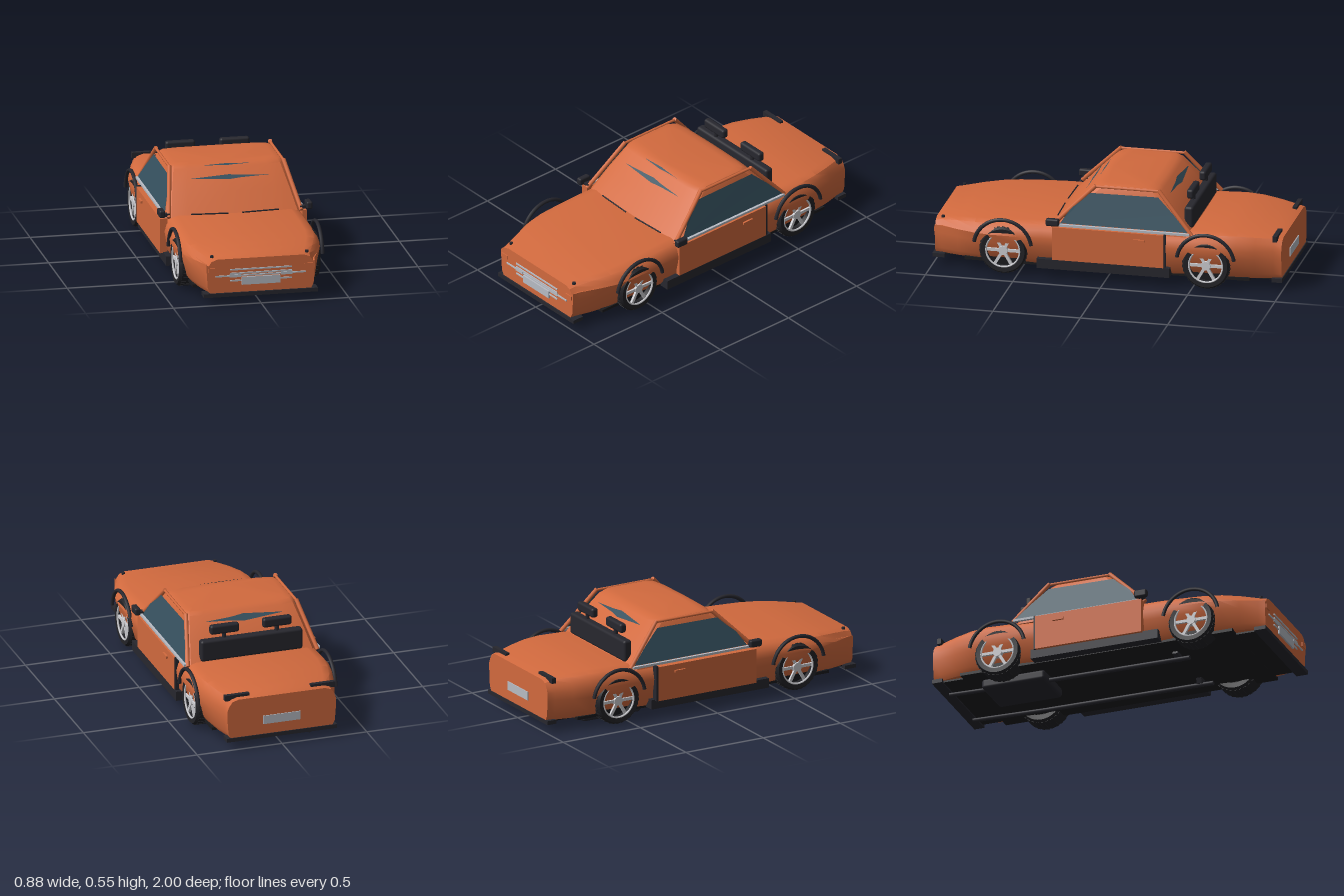
import * as THREE from 'three';
import { toCreasedNormals } from 'three/addons/utils/BufferGeometryUtils.js';
import { RoundedBoxGeometry } from 'three/addons/geometries/RoundedBoxGeometry.js';

const mat = (name, color, side = THREE.FrontSide) => {
  const m = new THREE.MeshStandardMaterial({ color, side });
  m.name = name;
  return m;
};

// Skin between closed rings of points, with both ends capped
function loft(rings, crease = 0.5) {
  const n = rings[0].length, idx = [], last = (rings.length - 1) * n;
  for (let i = 0; i < rings.length - 1; i++) {
    for (let j = 0; j < n; j++) {
      const a = i * n + j, b = i * n + (j + 1) % n;
      idx.push(a, b, b + n, a, b + n, a + n);
    }
  }
  for (let j = 1; j < n - 1; j++) idx.push(0, j + 1, j, last, last + j, last + j + 1);
  const g = new THREE.BufferGeometry();
  g.setAttribute('position', new THREE.Float32BufferAttribute(rings.flat(2), 3));
  g.setIndex(idx);
  return toCreasedNormals(g, crease);
}

// Flat convex panel from its corners
function panel(pts) {
  const g = new THREE.BufferGeometry(), idx = [];
  for (let i = 1; i < pts.length - 1; i++) idx.push(0, i, i + 1);
  g.setAttribute('position', new THREE.Float32BufferAttribute(pts.flat(), 3));
  g.setIndex(idx);
  const flat = g.toNonIndexed();
  flat.computeVertexNormals();
  return flat;
}

export function createModel() {
  const car = new THREE.Group();
  const paint = mat('orange paint', 0xd26a3e);
  const black = mat('black trim', 0x27272e);
  const rubber = mat('tyre rubber', 0x222226);
  const under = mat('underside', 0x1b1b1e);
  const glass = mat('blue glass', 0x36515f, THREE.DoubleSide);
  const silver = mat('silver', 0xb8bcc4);
  const rimMetal = mat('rim metal', 0xd0d0d4);

  const add = (name, geo, m, x = 0, y = 0, z = 0, parent = car) => {
    const mesh = new THREE.Mesh(geo, m);
    mesh.name = name;
    mesh.position.set(x, y, z);
    parent.add(mesh);
    return mesh;
  };
  // Box given by its limits on each axis
  const box = (name, m, [x0, x1], [y0, y1], [z0, z1], r = 0) => {
    const s = [x1 - x0, y1 - y0, z1 - z0];
    const g = r ? new RoundedBoxGeometry(...s, 2, r) : new THREE.BoxGeometry(...s);
    return add(name, g, m, (x0 + x1) / 2, (y0 + y1) / 2, (z0 + z1) / 2);
  };
  // Round bar between two points
  const bar = (name, m, a, b, r, sides = 8) => {
    const p = new THREE.Vector3(...a), q = new THREE.Vector3(...b);
    const mesh = add(name, new THREE.CylinderGeometry(r, r, p.distanceTo(q), sides), m);
    mesh.position.copy(p).add(q).multiplyScalar(0.5);
    mesh.quaternion.setFromUnitVectors(new THREE.Vector3(0, 1, 0), q.sub(p).normalize());
    return mesh;
  };

  // Lower body: rounded section swept along z as [z, half width, top, squareness of the lower side]
  const stations = [
    [-0.995, 0.32, 0.302, 1], [-0.95, 0.325, 0.312, 1], [-0.85, 0.362, 0.322, 0.6],
    [-0.75, 0.39, 0.33, 0.2], [-0.65, 0.405, 0.332, 0], [-0.5, 0.406, 0.326, 0],
    [-0.36, 0.402, 0.318, 0.3], [0, 0.4, 0.318, 0.3], [0.36, 0.402, 0.318, 0.3],
    [0.5, 0.406, 0.312, 0], [0.65, 0.405, 0.304, 0], [0.75, 0.388, 0.298, 0.2],
    [0.85, 0.355, 0.288, 0.6], [0.95, 0.315, 0.274, 1], [0.99, 0.308, 0.267, 1],
  ];
  add('body', loft(stations.map(([z, w, t, sq]) => {
    const half = [
      [(0.85 + 0.08 * sq) * w, 0.07], [(0.91 + 0.07 * sq) * w, 0.1],
      [(0.975 + 0.025 * sq) * w, 0.19], [w, 0.235], [0.97 * w, t - 0.04],
      [0.91 * w, t - 0.012], [0.8 * w, t],
    ];
    const left = half.map(([x, y]) => [x, y, z]);
    const right = half.map(([x, y]) => [-x, y, z]).reverse();
    return [...left, ...right];
  }), 0.6), paint);

  // Cabin: rounded plan rings stacked upwards as [y, half width, front z, back z]
  const levels = [[0.3, 0.385, 0.31, -0.505], [0.42, 0.355, 0.2, -0.408],
    [0.53, 0.323, 0.092, -0.308], [0.545, 0.312, 0.066, -0.28], [0.551, 0.28, 0.03, -0.24]];
  add('cabin', loft(levels.map(([y, w, f, b]) => [
    [0, y, f], [w * 0.7, y, f - 0.004], [w * 0.94, y, f - 0.02], [w, y, f - 0.05],
    [w, y, b + 0.05], [w * 0.94, y, b + 0.015], [w * 0.7, y, b + 0.003], [0, y, b],
    [-w * 0.7, y, b + 0.003], [-w * 0.94, y, b + 0.015], [-w, y, b + 0.05],
    [-w, y, f - 0.05], [-w * 0.94, y, f - 0.02], [-w * 0.7, y, f - 0.004],
  ])), paint);

  // Glass slivers showing through the windscreen, roof edge and rear screen
  const sliver = (name, w, y, z, dy, dz) => add(name, panel([
    [-w, y, z], [-w * 0.3, y - dy * 0.5, z - dz * 0.5], [0, y - dy, z - dz],
    [w * 0.3, y - dy * 0.5, z - dz * 0.5], [w, y, z],
    [w * 0.3, y + dy * 0.5, z + dz * 0.5], [0, y + dy, z + dz], [-w * 0.3, y + dy * 0.5, z + dz * 0.5],
  ]), glass);
  sliver('windscreenGlass', 0.23, 0.485, 0.143, 0.011, -0.011);
  sliver('upperWindscreenGlass', 0.14, 0.541, 0.083, 0.004, -0.006);
  sliver('rearScreenGlass', 0.235, 0.502, -0.341, 0.016, 0.015);

  for (const s of [-1, 1]) {
    // Side windows, sills and pillars
    add('sideWindow', panel([[s * 0.391, 0.33, 0.255], [s * 0.368, 0.41, 0.2], [s * 0.339, 0.505, 0.1],
      [s * 0.338, 0.508, -0.295], [s * 0.364, 0.42, -0.39], [s * 0.391, 0.33, -0.475]]), glass);
    box('windowTrim', silver, [s * 0.393 - 0.008, s * 0.393 + 0.008], [0.313, 0.326], [-0.485, 0.28]);
    bar('frontPillar', paint, [s * 0.378, 0.315, 0.3], [s * 0.325, 0.545, 0.065], 0.012);
    bar('rearPillar', paint, [s * 0.382, 0.315, -0.495], [s * 0.325, 0.545, -0.295], 0.012);
    bar('roofRail', paint, [s * 0.325, 0.54, 0.065], [s * 0.325, 0.54, -0.295], 0.008);
    bar('wiper', black, [s * 0.04, 0.323, 0.305], [s * 0.25, 0.326, 0.298], 0.004, 6);

    // Door with dark shut line, handle and rocker
    const out = s < 0 ? 0.428 : 0.41;
    const span = (a, b) => (s < 0 ? [-b, -a] : [a, b]);
    box('door', paint, span(0.385, out), [0.11, 0.31], [-0.34, 0.295]);
    box('doorShutLine', black, span(0.385, out - 0.003), [0.11, 0.315], [-0.352, -0.34]);
    box('doorHandle', paint, span(out, out + 0.011), [0.262, 0.276], [-0.235, -0.17]);
    box('rocker', black, span(0.35, 0.411), [0.062, 0.117], [-0.375, 0.385]);

    // Mirror
    box('mirror', black, span(0.403, 0.437), [0.322, 0.365], [0.253, 0.328], 0.01);
    box('mirrorStalk', black, span(0.37, 0.41), [0.322, 0.337], [0.27, 0.3]);

    // Lamps
    box('headlamp', paint, span(0.248, 0.3), [0.193, 0.217], [0.98, 0.996]);
    box('tailLamp', black, span(0.18, 0.325), [0.29, 0.322], [-0.97, -0.945]);
    add('hoodPin', new THREE.CylinderGeometry(0.01, 0.01, 0.012, 10), black, s * 0.27, 0.274, 0.95);

    for (const z of [0.58, -0.58]) {
      // Wheel arch lip
      const arch = add('wheelArch', new THREE.TorusGeometry(0.165, 0.011, 8, 28, Math.PI * 0.9),
        black, s * 0.405, 0.163, z);
      arch.geometry.rotateZ(Math.PI * 0.05).rotateY(Math.PI / 2);

      // Wheel: tyre profile turned round the axle, then rim, spokes and hub
      const wheel = new THREE.Group();
      wheel.name = 'wheel';
      wheel.position.set(s * 0.338, 0.145, z);
      wheel.rotation.z = -s * Math.PI / 2;
      car.add(wheel);
      const profile = [[0.095, -0.06], [0.125, -0.064], [0.135, -0.05], [0.135, 0.05],
        [0.125, 0.064], [0.1, 0.062], [0.095, 0.03], [0.095, -0.06]].map(p => new THREE.Vector2(...p));
      add('tyre', toCreasedNormals(new THREE.LatheGeometry(profile, 36), 0.6), rubber, 0, 0, 0, wheel);
      add('wheelBack', new THREE.CylinderGeometry(0.096, 0.096, 0.08, 28), under, 0, -0.015, 0, wheel);
      const ring = new THREE.TorusGeometry(0.097, 0.006, 6, 36).rotateX(Math.PI / 2);
      add('rim', ring, rimMetal, 0, 0.058, 0, wheel);
      add('hub', new THREE.CylinderGeometry(0.026, 0.032, 0.03, 16), rimMetal, 0, 0.046, 0, wheel);
      for (let i = 0; i < 6; i++) {
        const spoke = new THREE.BoxGeometry(0.08, 0.014, 0.017).translate(0.055, 0, 0);
        add('spoke', spoke, rimMetal, 0, 0.05, 0, wheel).rotation.y = i * Math.PI / 3 + Math.PI / 6;
      }
      for (let i = 0; i < 30; i++) {
        const a = i * Math.PI / 15;
        const lug = add('treadBlock', new THREE.BoxGeometry(0.006, 0.1, 0.015), rubber,
          Math.cos(a) * 0.134, 0, Math.sin(a) * 0.134, wheel);
        lug.rotation.y = -a;
      }
    }

    // Exhaust pipes under the floor
    bar('exhaustPipe', black, [s * 0.18, 0.022, 0.49], [s * 0.18, 0.026, -0.5], 0.013, 10);
    bar('exhaustTail', black, [s * 0.18, 0.026, -0.48], [s * 0.18, 0.036, -0.95], 0.012, 10);
    box('exhaustBracket', black, [s * 0.18 - 0.035, s * 0.18 + 0.035], [0.03, 0.064], [0.4, 0.43]).rotation.z = s * 0.35;
  }

  // Grille bars and number plates
  for (const [y, w] of [[0.204, 0.176], [0.182, 0.176], [0.169, 0.257], [0.14, 0.176]]) {
    box('grilleBar', silver, [-w, w], [y - 0.004, y + 0.004], [0.98, 0.996]);
  }
  for (const s of [-1, 1]) {
    box('grilleBlock', silver, [s * 0.147 - 0.032, s * 0.147 + 0.032], [0.16, 0.177], [0.98, 0.997]);
  }
  box('frontPlate', silver, [-0.11, 0.11], [0.115, 0.16], [0.985, 1]);
  box('rearPlate', silver, [-0.11, 0.11], [0.135, 0.185], [-1, -0.99]);

  // Bumper lips and floor
  box('frontLip', black, [-0.325, 0.325], [0.05, 0.072], [0.93, 1]);
  box('rearLip', black, [-0.325, 0.325], [0.052, 0.075], [-1, -0.94]);
  box('floor', under, [-0.35, 0.35], [0.058, 0.075], [-0.82, 0.81]);
  box('floorFront', under, [-0.29, 0.29], [0.06, 0.072], [0.8, 0.95]);
  box('floorRear', under, [-0.3, 0.3], [0.06, 0.072], [-0.96, -0.8]);
  box('muffler', black, [-0.26, 0.02], [0.003, 0.062], [-0.73, -0.35], 0.018);

  // Rear bench back with two headrests
  box('benchBack', black, [-0.3, 0.3], [0.325, 0.45], [-0.487, -0.435], 0.015);
  for (const s of [-1, 1]) {
    box('headrest', black, [s * 0.155 - 0.085, s * 0.155 + 0.085], [0.475, 0.53], [-0.475, -0.435], 0.014);
    bar('headrestPost', black, [s * 0.155, 0.44, -0.456], [s * 0.155, 0.49, -0.456], 0.012);
  }
  return car;
}
